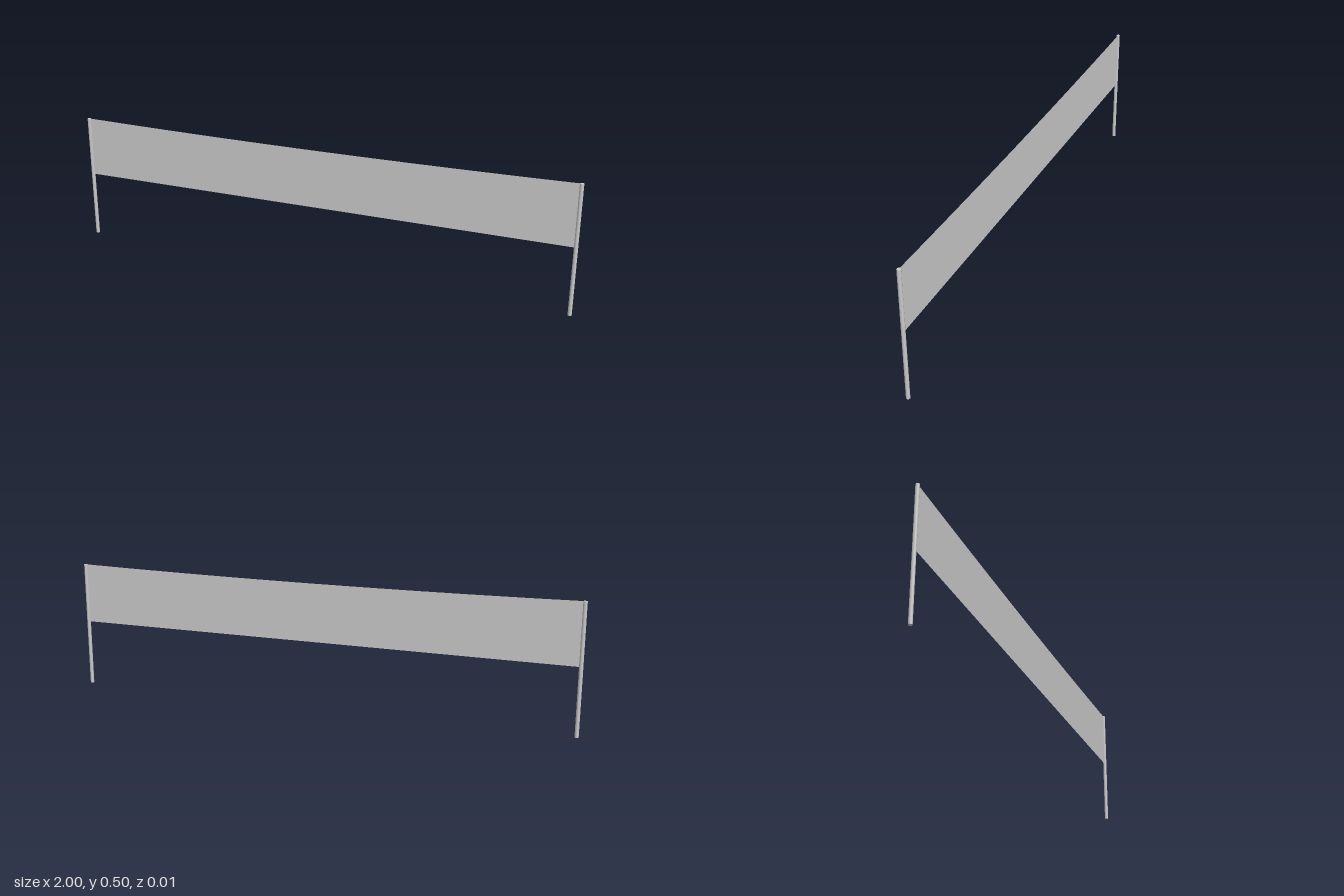
import * as THREE from 'three';

const HEIGHT = 0.5, RADIUS = 0.0075, POST_X = 1 - RADIUS;
const NET_BOTTOM = 0.262, SAG = 0.01;

export function createModel() {
  const group = new THREE.Group();
  group.name = 'sportsNet';
  const material = new THREE.MeshStandardMaterial({ color: 0xcccccc });
  const netMaterial = new THREE.MeshStandardMaterial({ color: 0xcccccc, side: THREE.DoubleSide });

  // Slim round posts at both ends
  const postGeometry = new THREE.CylinderGeometry(RADIUS, RADIUS, HEIGHT, 8);
  for (const side of [-1, 1]) {
    const post = new THREE.Mesh(postGeometry, material);
    post.name = side > 0 ? 'leftPost' : 'rightPost';
    post.position.set(side * POST_X, HEIGHT / 2, 0);
    group.add(post);
  }

  // Thin net: straight lower edge, top edge sagging slightly to the middle
  const netGeometry = new THREE.PlaneGeometry(2 * POST_X, 1, 10, 1);
  const p = netGeometry.attributes.position;
  for (let i = 0; i < p.count; i++) {
    const t = p.getX(i) / POST_X;
    p.setY(i, p.getY(i) > 0 ? HEIGHT - SAG * (1 - t * t) : NET_BOTTOM);
  }
  netGeometry.computeVertexNormals();
  const net = new THREE.Mesh(netGeometry, netMaterial);
  net.name = 'net';
  group.add(net);

  return group;
}
